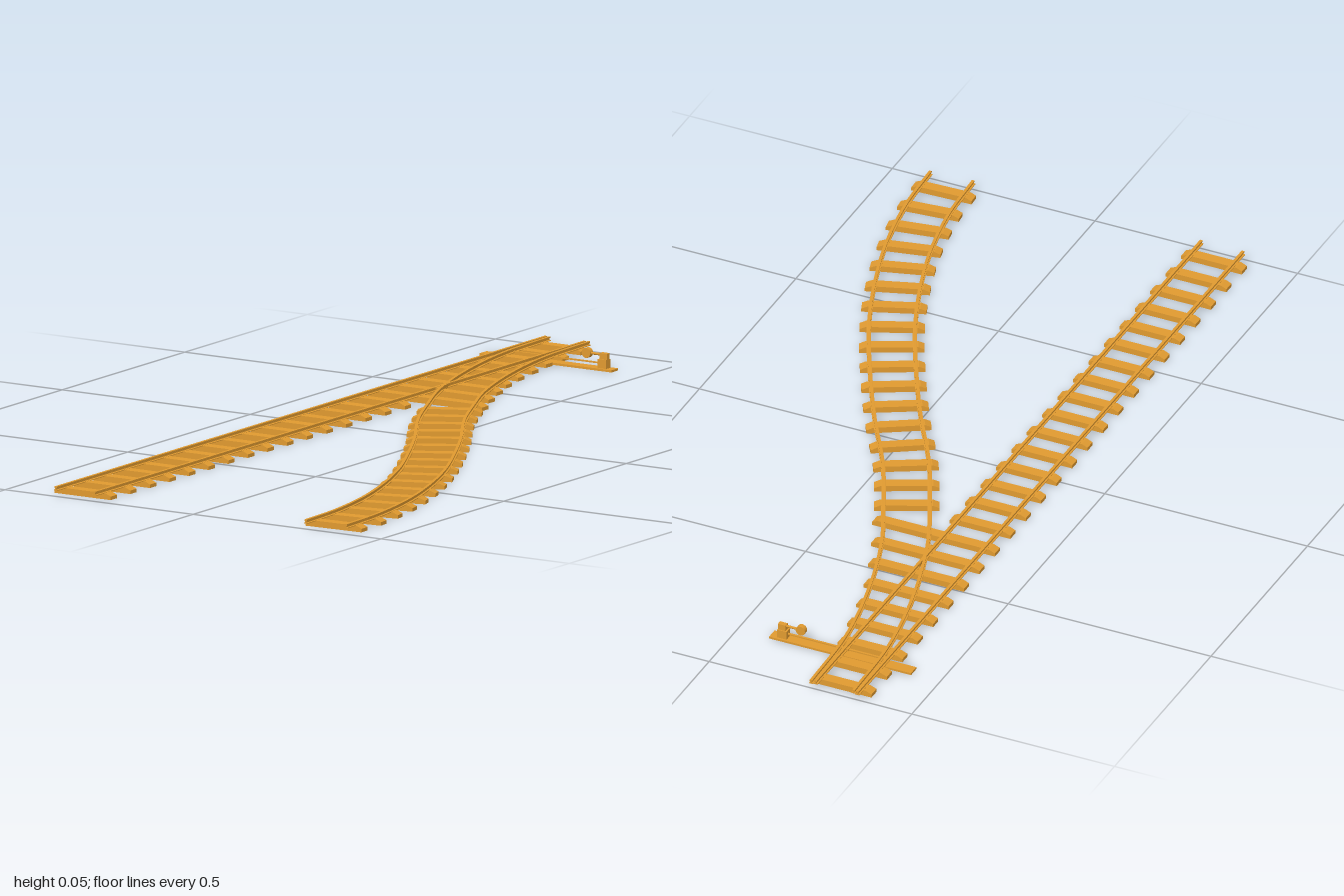
import * as THREE from 'three';

const material = new THREE.MeshStandardMaterial({ color: 0xe09a30, side: THREE.DoubleSide });
const GAUGE = 0.103, STRAIGHT_X = -0.314, TIE_TOP = 0.014;

// Half of the flat-bottomed rail section, mirrored into a closed outline
const half = [[0.005, 0.013], [0.005, 0.0145], [0.0015, 0.0155], [0.0015, 0.0185], [0.0033, 0.0195], [0.0033, 0.0225]];
const railProfile = [...half, ...half.map(([x, y]) => [-x, y]).reverse()].map(p => new THREE.Vector2(...p));

function add(parent, name, geometry, x = 0, y = 0, z = 0) {
  const mesh = new THREE.Mesh(geometry, material);
  mesh.name = name;
  mesh.position.set(x, y, z);
  parent.add(mesh);
  return mesh;
}

// Sweep the rail section along a level curve, shifted sideways by offset
function railGeometry(curve, offset, steps) {
  const rings = [];
  for (let i = 0; i <= steps; i++) {
    const p = curve.getPointAt(i / steps), t = curve.getTangentAt(i / steps);
    rings.push(railProfile.map(q => [p.x + t.z * (q.x + offset), q.y, p.z - t.x * (q.x + offset)]));
  }
  const pos = [], n = railProfile.length;
  const tri = (a, b, c) => pos.push(...a, ...b, ...c);
  for (let i = 0; i < steps; i++) {
    for (let j = 0; j < n; j++) {
      const k = (j + 1) % n;
      tri(rings[i][j], rings[i][k], rings[i + 1][k]);
      tri(rings[i][j], rings[i + 1][k], rings[i + 1][j]);
    }
  }
  for (const [a, b, c] of THREE.ShapeUtils.triangulateShape(railProfile, [])) {
    tri(rings[0][a], rings[0][c], rings[0][b]);
    tri(rings[steps][a], rings[steps][b], rings[steps][c]);
  }
  const g = new THREE.BufferGeometry();
  g.setAttribute('position', new THREE.Float32BufferAttribute(pos, 3));
  g.computeVertexNormals();
  return g;
}

// Tie with sloping end tops
function tieGeometry(length, width = 0.026) {
  const h = length / 2;
  const s = new THREE.Shape([[-h, 0], [h, 0], [h, 0.008], [h - 0.014, TIE_TOP], [-h + 0.014, TIE_TOP], [-h, 0.008]]
    .map(p => new THREE.Vector2(...p)));
  return new THREE.ExtrudeGeometry(s, { depth: width, bevelEnabled: false }).translate(0, 0, -width / 2);
}

export function createModel() {
  const model = new THREE.Group();
  model.name = 'railSwitch';

  // Centre lines of both routes
  const straight = new THREE.LineCurve3(new THREE.Vector3(STRAIGHT_X, 0, -1), new THREE.Vector3(STRAIGHT_X, 0, 1));
  const branch = new THREE.CatmullRomCurve3([
    [-0.304, -1], [-0.295, -0.8], [-0.258, -0.6], [-0.197, -0.4], [-0.135, -0.26], [-0.057, -0.1],
    [0.045, 0.07], [0.14, 0.246], [0.212, 0.394], [0.272, 0.548], [0.317, 0.7], [0.345, 0.86], [0.353, 1],
  ].map(([x, z]) => new THREE.Vector3(x, 0, z)));

  // Rails
  for (const side of [-1, 1]) {
    add(model, 'straightRail', railGeometry(straight, side * GAUGE / 2, 1));
    add(model, 'branchRail', railGeometry(branch, side * GAUGE / 2, 64));
  }

  // Straight ties, lengthening toward the point where the routes part
  const left = -0.39;
  const longEnds = [-0.242, -0.238, -0.23, -0.215, -0.2, -0.18, -0.153, -0.122, -0.087];
  for (let i = 0; i < 25; i++) {
    const right = longEnds[i] ?? -0.24;
    add(model, 'straightTie', tieGeometry(right - left), (left + right) / 2, 0, -0.965 + i * 0.08);
  }

  // Branch ties, square to the curve
  const length = branch.getLength();
  for (let i = 0; i < 17; i++) {
    const u = 1 - (0.047 + i * 0.0813) / length;
    const p = branch.getPointAt(u), t = branch.getTangentAt(u);
    add(model, 'branchTie', tieGeometry(0.146), p.x, 0, p.z).rotation.y = Math.atan2(t.x, t.z);
  }

  // Crossing wedge where the inner rails meet
  const wedge = new THREE.Shape([[-0.267, 0.47], [-0.258, 0.385], [-0.246, 0.385]].map(p => new THREE.Vector2(...p)));
  add(model, 'crossingWedge', new THREE.ExtrudeGeometry(wedge, { depth: 0.009, bevelEnabled: false }).rotateX(-Math.PI / 2), 0, 0.013, 0);

  // Switch stand: base plate, throw rod, housing, lever and counterweight
  const stand = new THREE.Group();
  stand.name = 'switchStand';
  stand.position.z = -0.843;
  model.add(stand);
  add(stand, 'basePlate', new THREE.BoxGeometry(0.35, 0.005, 0.028), -0.255, 0.0025, 0);
  add(stand, 'throwRod', new THREE.BoxGeometry(0.25, 0.003, 0.005), -0.235, 0.0155, 0);
  for (const x of [-0.36, -0.265]) add(stand, 'rodClamp', new THREE.BoxGeometry(0.012, 0.005, 0.01), x, 0.016, 0);
  add(stand, 'housing', new THREE.BoxGeometry(0.023, 0.02, 0.018), -0.109, 0.015, 0);
  add(stand, 'housingTop', new THREE.BoxGeometry(0.019, 0.014, 0.012), -0.107, 0.032, 0);
  add(stand, 'lever', new THREE.CylinderGeometry(0.003, 0.003, 0.045, 10).rotateZ(Math.PI / 2), -0.125, 0.035, 0);
  add(stand, 'counterweight', new THREE.CylinderGeometry(0.0115, 0.0115, 0.012, 20).rotateX(Math.PI / 2), -0.153, 0.035, 0);

  return model;
}
